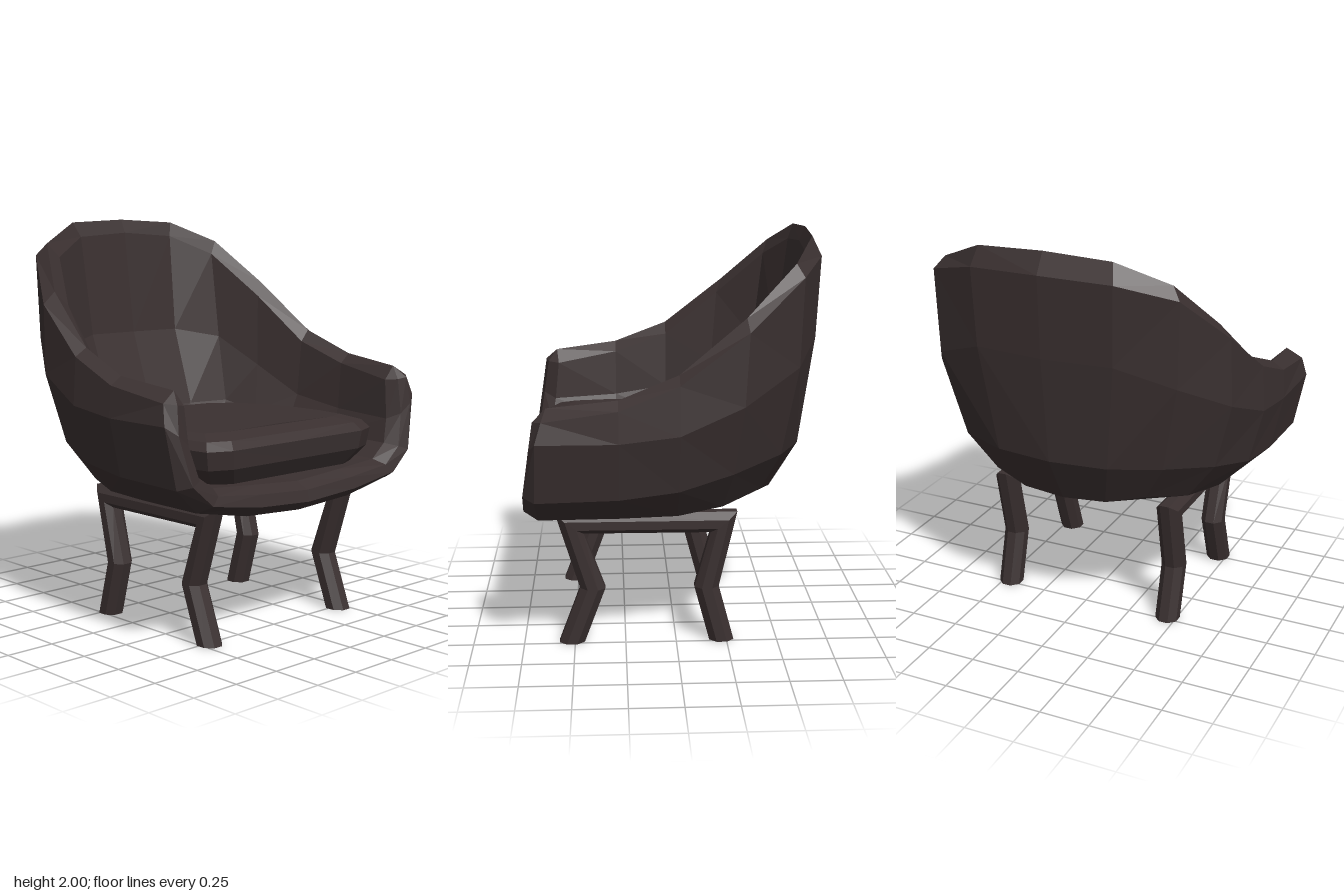
import * as THREE from 'three';

const upholstery = new THREE.MeshStandardMaterial({ color: 0x3a3030 });
upholstery.name = 'dark brown';

// Adds a grid of faceted quads to a list of triangle corners
function addGrid(out, rows, flip = false) {
  for (let i = 0; i < rows.length - 1; i++) {
    for (let j = 0; j < rows[i].length - 1; j++) {
      const a = rows[i][j], b = rows[i][j + 1], c = rows[i + 1][j + 1], d = rows[i + 1][j];
      const corners = flip ? [a, c, b, a, d, c] : [a, b, c, a, c, d];
      corners.forEach((p) => out.push(...p));
    }
  }
}

// Adds a grid together with its mirror image across x = 0
function addMirrored(out, rows, flip = false) {
  addGrid(out, rows, flip);
  addGrid(out, rows.map((r) => r.map(([x, y, z]) => [-x, y, z])), !flip);
}

function toMesh(out, name) {
  const geometry = new THREE.BufferGeometry();
  geometry.setAttribute('position', new THREE.Float32BufferAttribute(out, 3));
  geometry.computeVertexNormals();
  const mesh = new THREE.Mesh(geometry, upholstery);
  mesh.name = name;
  return mesh;
}

// Tub shell: stations run from the arm front round to the middle of the back
function createShell() {
  // Each station goes from the rim down the outside to the underside
  const outer = [
    [[0.76, 1.25, 0.61], [0.84, 1.2, 0.63], [0.86, 1.1, 0.66], [0.8, 0.81, 0.67], [0.67, 0.69, 0.66]],
    [[0.79, 1.29, 0.28], [0.85, 1.25, 0.28], [0.86, 1.1, 0.28], [0.8, 0.82, 0.28], [0.66, 0.69, 0.28]],
    [[0.77, 1.4, 0], [0.835, 1.36, 0], [0.85, 1.13, 0], [0.78, 0.85, 0], [0.63, 0.69, 0]],
    [[0.72, 1.65, -0.31], [0.78, 1.59, -0.32], [0.79, 1.25, -0.3], [0.7, 0.91, -0.26], [0.55, 0.71, -0.22]],
    [[0.585, 1.88, -0.55], [0.63, 1.82, -0.585], [0.62, 1.4, -0.57], [0.53, 0.96, -0.5], [0.41, 0.76, -0.42]],
    [[0.34, 1.985, -0.655], [0.36, 1.89, -0.7], [0.35, 1.5, -0.68], [0.29, 0.96, -0.61], [0.22, 0.72, -0.48]],
    [[0, 2, -0.67], [0, 1.9, -0.73], [0, 1.5, -0.71], [0, 0.96, -0.645], [0, 0.71, -0.5]],
  ];
  // The same stations down the inside to the seat floor
  const inner = [
    [[0.71, 1.18, 0.6], [0.7, 0.98, 0.62], [0.66, 0.86, 0.64], [0.56, 0.79, 0.65]],
    [[0.73, 1.24, 0.28], [0.71, 1, 0.28], [0.66, 0.87, 0.28], [0.56, 0.8, 0.28]],
    [[0.72, 1.34, 0], [0.69, 1.05, 0], [0.62, 0.9, 0], [0.5, 0.82, 0]],
    [[0.66, 1.58, -0.28], [0.63, 1.2, -0.25], [0.57, 0.95, -0.2], [0.45, 0.84, -0.15]],
    [[0.53, 1.81, -0.52], [0.54, 1.35, -0.47], [0.51, 1, -0.38], [0.38, 0.86, -0.3]],
    [[0.31, 1.91, -0.625], [0.29, 1.4, -0.56], [0.28, 1, -0.42], [0.2, 0.86, -0.34]],
    [[0, 1.93, -0.64], [0, 1.4, -0.57], [0, 1, -0.43], [0, 0.86, -0.36]],
  ].map((station, i) => [outer[i][0], ...station]);

  // Floors run from each station's lowest point in to the centre line
  const floor = (stations, y, zFront) => {
    const rows = [zFront, 0.28, 0, -0.2].map((z, i) => {
      const edge = stations[i][4];
      const rise = i === 3 ? 0.02 : 0;
      return [edge, [edge[0] * 0.53, y + 0.02 + rise, z], [0, y + rise, z]];
    });
    rows.push([stations[4][4], stations[5][4], stations[6][4]]);
    return rows;
  };
  const underside = floor(outer, 0.61, 0.66);
  const seatFloor = floor(inner, 0.75, 0.65);

  // Rounded front edge joining the outside to the inside
  const outerEdge = [...outer[0], ...underside[0].slice(1)];
  const innerEdge = [...inner[0], ...seatFloor[0].slice(1)];
  const nose = (t, depth) => outerEdge.map((p, j) => {
    const q = innerEdge[j];
    if (j === 0) return p;
    const y = p[1] + (q[1] - p[1]) * t;
    const lean = THREE.MathUtils.clamp((y - 0.8) / 0.4, 0, 1) * 0.06;
    return [p[0] + (q[0] - p[0]) * t, y, depth - lean];
  });

  const out = [];
  addMirrored(out, outer);
  addMirrored(out, underside);
  addMirrored(out, inner, true);
  addMirrored(out, seatFloor, true);
  addMirrored(out, [outerEdge, nose(0.35, 0.73), nose(0.75, 0.715), innerEdge], true);
  return toMesh(out, 'tubShell');
}

// Seat cushion: a half outline scaled through several layers
function createCushion() {
  const outline = [[0, 0.67], [0.45, 0.67], [0.57, 0.62], [0.6, 0.4], [0.59, 0.1],
    [0.55, -0.07], [0.46, -0.27], [0.32, -0.39], [0, -0.4]];
  const midZ = 0.14;
  // Height, width scale, depth scale
  const layers = [[0.78, 0, 0.88], [0.78, 0.85, 0.88], [0.86, 0.97, 0.98], [0.95, 1, 1],
    [0.99, 0.95, 0.93], [1.015, 0.83, 0.75], [1.02, 0, 0.75]];
  const rows = layers.map(([y, sx, sz]) =>
    outline.map(([x, z]) => [x * sx, y, midZ + (z - midZ) * sz]));
  const out = [];
  addMirrored(out, rows);
  return toMesh(out, 'seatCushion');
}

// Leg frame: an octagonal bar swept along a bent path with mitred joints
function createLegFrame(x0, name) {
  const radius = 0.063, sides = 8;
  const path = [[0.515, 0], [0.41, 0.28], [0.51, 0.605], [-0.225, 0.605], [-0.15, 0.28], [-0.225, 0]]
    .map(([z, y]) => new THREE.Vector2(z, y));
  const last = path.length - 1;
  const rings = path.map((p, i) => {
    // Mirroring the neighbour below ground keeps the feet level
    const before = i > 0 ? path[i - 1] : new THREE.Vector2(path[1].x, -path[1].y);
    const after = i < last ? path[i + 1] : new THREE.Vector2(path[last - 1].x, -path[last - 1].y);
    const t0 = p.clone().sub(before).normalize();
    const t1 = after.clone().sub(p).normalize();
    const t = t0.clone().add(t1).normalize();
    const miter = 1 / t.dot(t1);
    const turn = Math.sign(t0.cross(t1));
    const ring = [];
    for (let k = 0; k <= sides; k++) {
      const a = ((k + 0.5) / sides) * Math.PI * 2;
      const s = Math.sin(a);
      // Blunt the outside of sharp corners
      const outside = s * turn > 0;
      const n = s * radius * (outside ? Math.min(miter, 1.25) : miter);
      ring.push([x0 + Math.cos(a) * radius, p.y + t.x * n, p.x - t.y * n]);
    }
    return ring;
  });
  const foot = (i) => rings[i].map(() => [x0, 0, path[i].x]);
  const out = [];
  addGrid(out, [foot(0), ...rings, foot(last)]);
  return toMesh(out, name);
}

export function createModel() {
  const chair = new THREE.Group();
  chair.name = 'tubChair';
  chair.add(createShell(), createCushion());
  chair.add(createLegFrame(0.46, 'leftLegFrame'), createLegFrame(-0.455, 'rightLegFrame'));
  return chair;
}
